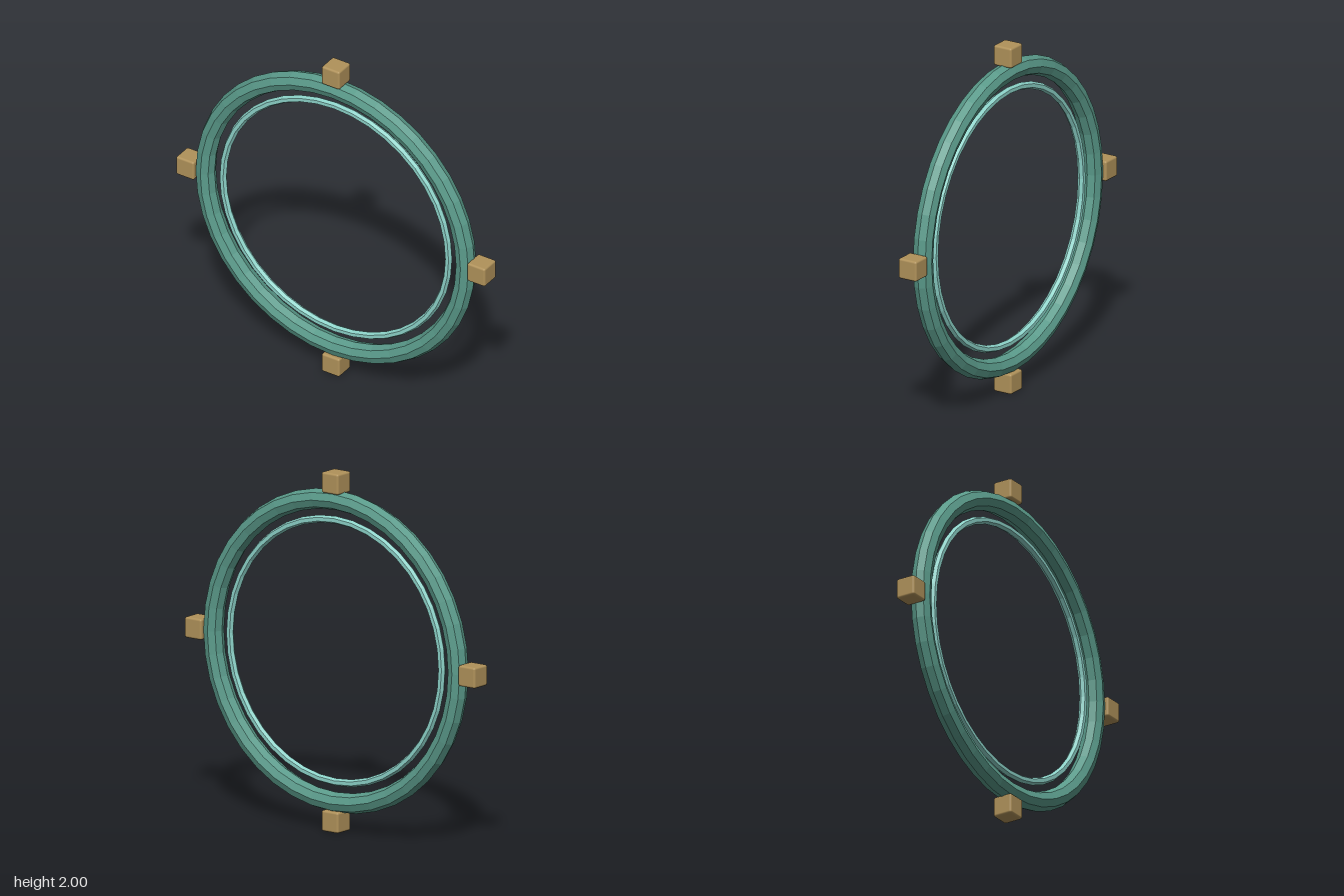
import * as THREE from 'three';
import { RoundedBoxGeometry } from 'three/addons/geometries/RoundedBoxGeometry.js';

export function createModel() {
  const group = new THREE.Group();
  const material = (name, color, flatShading) => {
    const m = new THREE.MeshStandardMaterial({ color, flatShading });
    m.name = name;
    return m;
  };
  const green = material('deep teal', 0x5a9a8a, true);
  const aqua = material('pale aqua', 0x8cd2c8, true);
  const gold = material('brass', 0xb0925a, false);

  const add = (name, geometry, mat, x, y) => {
    const mesh = new THREE.Mesh(geometry, mat);
    mesh.name = name;
    mesh.position.set(x, y, 0);
    group.add(mesh);
  };

  // Concentric faceted rings
  add('outerRing', new THREE.TorusGeometry(0.842, 0.056, 8, 40), green, 0, 1);
  add('innerRing', new THREE.TorusGeometry(0.73, 0.021, 6, 40), aqua, 0, 1);

  // Four softened blocks at the compass points
  const size = 0.116;
  const block = new RoundedBoxGeometry(size, size, size, 2, 0.012);
  const reach = 1 - size / 2;
  ['left', 'top', 'right', 'bottom'].forEach((side, i) => {
    const a = (i * Math.PI) / 2;
    add(side + 'Block', block, gold, reach * Math.cos(a), 1 + reach * Math.sin(a));
  });
  return group;
}
